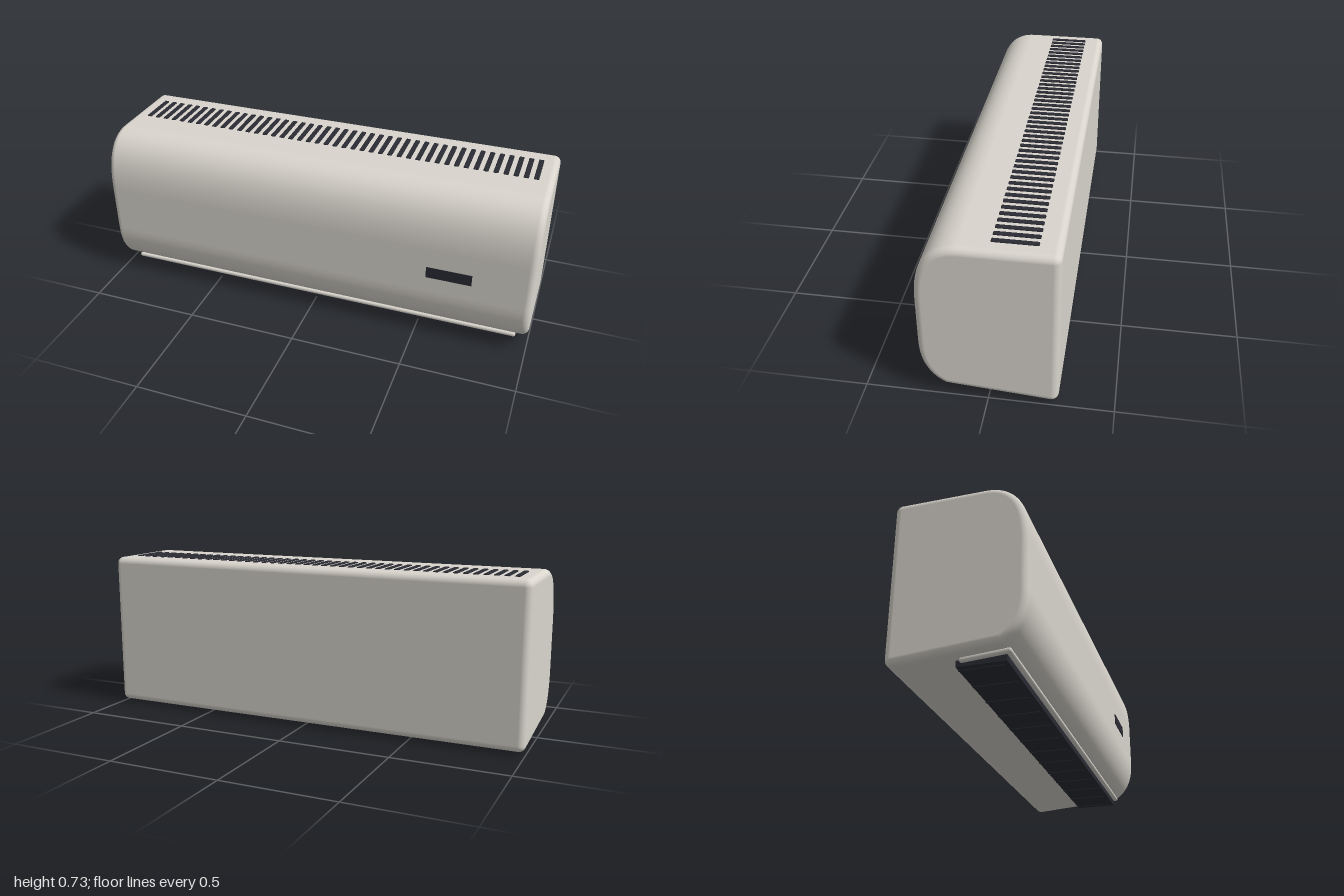
import * as THREE from 'three';
import { RoundedBoxGeometry } from 'three/addons/geometries/RoundedBoxGeometry.js';

const R = 0.03; // edge rounding of the casing

// Inset side profile as (z, y) points with outward normal angles, corners fanned out
function casingProfile() {
  const v = (z, y) => new THREE.Vector2(z, y);
  const top = v(0.1, 0.692), front = v(0.246, 0.46), low = v(0.246, 0.25);
  const chin = v(0.163, 0.074), heel = v(-0.248, 0.042), back = v(-0.248, 0.692);
  const curves = [
    [new THREE.QuadraticBezierCurve(top, v(0.246, 0.692), front), 20],
    [new THREE.LineCurve(front, low), 1],
    [new THREE.QuadraticBezierCurve(low, v(0.246, 0.118), chin), 16],
    [new THREE.LineCurve(chin, heel), 1],
    [new THREE.LineCurve(heel, back), 1],
    [new THREE.LineCurve(back, top), 1],
  ];
  const angleAt = (c, t) => { const d = c.getTangent(t); return Math.atan2(d.x, -d.y); };
  const points = [];
  curves.forEach(([curve, n], i) => {
    for (let k = 0; k <= n; k++) points.push({ p: curve.getPoint(k / n), a: angleAt(curve, k / n) });
    const a0 = angleAt(curve, 1);
    let turn = angleAt(curves[(i + 1) % curves.length][0], 0) - a0;
    turn = Math.atan2(Math.sin(turn), Math.cos(turn));
    if (Math.abs(turn) > 0.02) {
      for (let k = 1; k < 6; k++) points.push({ p: curve.getPoint(1), a: a0 + turn * k / 6 });
    }
  });
  points.push(points[0]);
  return points;
}

// Skin swept along x with quarter-round ends
function casingSkin(profile) {
  const pos = [], nor = [], idx = [], steps = 6, n = profile.length;
  const rings = [];
  for (const side of [-1, 1]) {
    for (let k = 0; k <= steps; k++) {
      const phi = (side < 0 ? k / steps - 1 : k / steps) * Math.PI / 2;
      rings.push([side * (1 - R) + R * Math.sin(phi), phi]);
    }
  }
  rings.forEach(([x, phi], i) => profile.forEach(({ p, a }, j) => {
    const c = Math.cos(phi), nz = Math.cos(a) * c, ny = Math.sin(a) * c;
    pos.push(x, p.y + R * ny, p.x + R * nz);
    nor.push(Math.sin(phi), ny, nz);
    if (i && j) {
      const d = i * n + j, b = d - n;
      idx.push(b - 1, b, d, b - 1, d, d - 1);
    }
  }));
  // Make the winding agree with the outward normals
  const at = (i) => new THREE.Vector3().fromArray(pos, i * 3);
  const m = steps * n + 10, e = m + n;
  const face = at(m + 1).sub(at(m)).cross(at(e + 1).sub(at(m)));
  if (face.dot(new THREE.Vector3().fromArray(nor, m * 3)) < 0) idx.reverse();
  const g = new THREE.BufferGeometry();
  g.setAttribute('position', new THREE.Float32BufferAttribute(pos, 3));
  g.setAttribute('normal', new THREE.Float32BufferAttribute(nor, 3));
  g.setIndex(idx);
  return g;
}

export function createModel() {
  const model = new THREE.Group();
  const mat = (name, color) => {
    const m = new THREE.MeshStandardMaterial({ color });
    m.name = name;
    return m;
  };
  const shell = mat('warm white plastic', 0xd9d5cd);
  const dark = mat('dark plastic', 0x2a2b33);
  const add = (name, geometry, material, x = 0, y = 0, z = 0, parent = model) => {
    const mesh = new THREE.Mesh(geometry, material);
    mesh.name = name;
    mesh.position.set(x, y, z);
    parent.add(mesh);
    return mesh;
  };

  // Casing and its flat ends
  const profile = casingProfile();
  add('casing', casingSkin(profile), shell);
  const outline = profile.filter((q, i) => !i || q.p.distanceTo(profile[i - 1].p) > 1e-5)
    .map(({ p }) => new THREE.Vector2(-p.x, p.y));
  outline.pop();
  const right = new THREE.ShapeGeometry(new THREE.Shape(outline)).rotateY(Math.PI / 2);
  add('leftEnd', right, shell, 1);
  const mirrored = outline.map((p) => new THREE.Vector2(-p.x, p.y));
  add('rightEnd', new THREE.ShapeGeometry(new THREE.Shape(mirrored)).rotateY(-Math.PI / 2), shell, -1);

  // Row of intake slots on the top
  const vents = new THREE.Group();
  vents.name = 'intakeSlots';
  model.add(vents);
  const slot = new RoundedBoxGeometry(0.022, 0.012, 0.178, 1, 0.004);
  for (let i = 0; i < 44; i++) add('intakeSlot', slot, dark, (i - 21.5) * 0.0429, 0.721, -0.101, vents);

  // Display window on the front
  add('display', new THREE.BoxGeometry(0.2, 0.052, 0.008), dark, 0.64, 0.348, 0.275);

  // Tilted outlet flap below the front edge
  const flap = add('outletFlap', new RoundedBoxGeometry(1.89, 0.02, 0.2, 3, 0.009), shell, 0, 0.033, 0.096);
  flap.rotation.x = -0.07;

  // Air outlet and the thin fins under it
  add('airOutlet', new THREE.BoxGeometry(1.86, 0.026, 0.196), dark, 0, 0.016, 0.079);
  const fin = new THREE.BoxGeometry(0.008, 0.02, 0.178);
  for (let i = 0; i < 13; i++) add('outletFin', fin, dark, (i - 6) * 0.15, 0.01, 0.069);
  return model;
}
